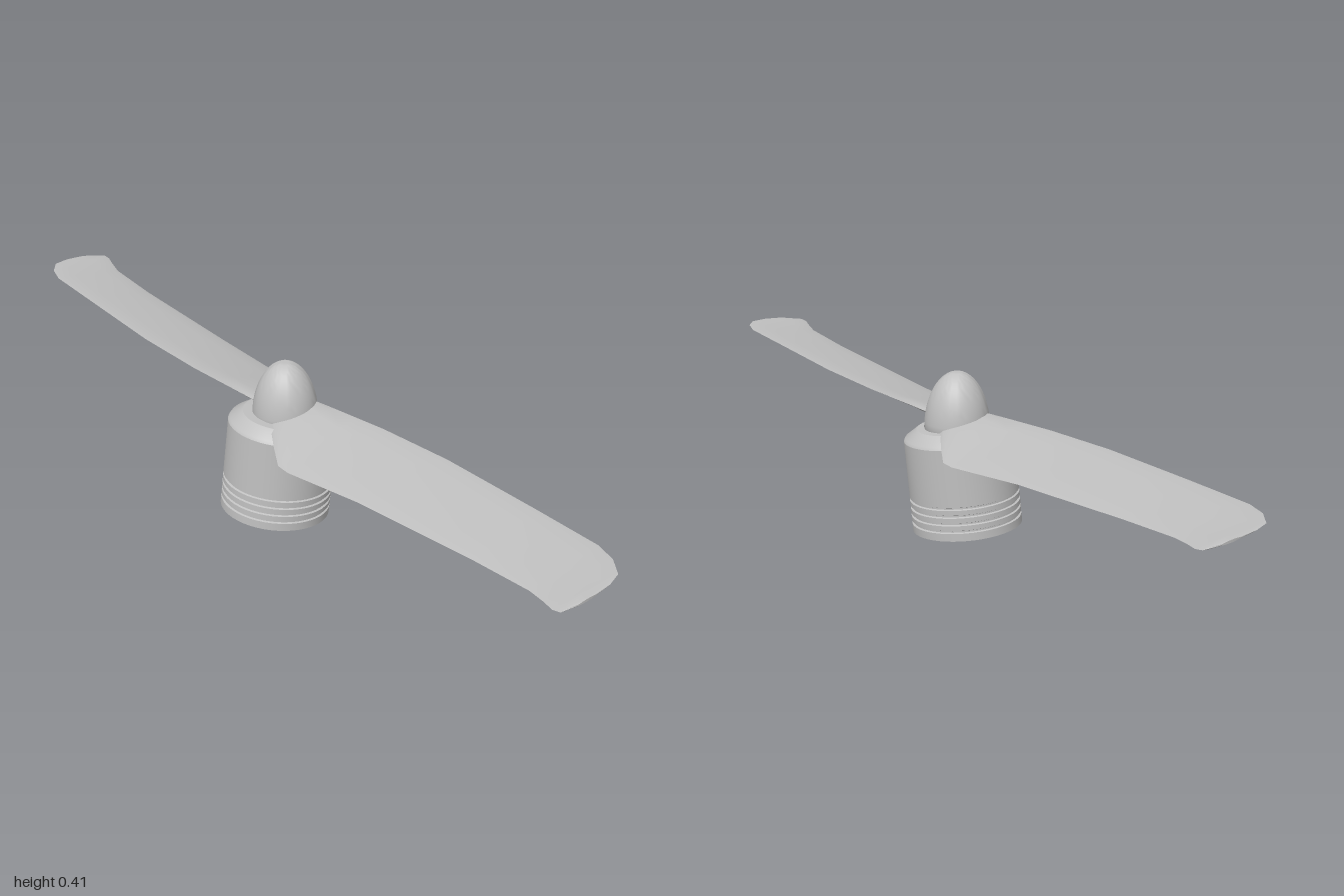
import * as THREE from 'three';
import { toCreasedNormals } from 'three/addons/utils/BufferGeometryUtils.js';

// Blade stations from hub to tip: low edge xyz, high edge xyz, thickness
const STATIONS = [
  [-0.05, 0.275, 0.0, 0.03, 0.305, -0.05, 0.03],
  [-0.03, 0.272, 0.09, 0.08, 0.308, 0.0, 0.024],
  [-0.015, 0.262, 0.18, 0.13, 0.311, 0.05, 0.018],
  [0.0, 0.249, 0.25, 0.19, 0.314, 0.11, 0.015],
  [0.025, 0.249, 0.285, 0.25, 0.317, 0.17, 0.014],
  [0.2, 0.271, 0.47, 0.4, 0.324, 0.34, 0.012],
  [0.45, 0.295, 0.76, 0.59, 0.332, 0.59, 0.01],
  [0.56, 0.307, 0.9, 0.71, 0.336, 0.75, 0.009],
  [0.585, 0.312, 0.95, 0.735, 0.337, 0.81, 0.008],
  [0.6, 0.315, 0.985, 0.74, 0.336, 0.87, 0.008],
  [0.615, 0.318, 1.0, 0.72, 0.334, 0.91, 0.007],
  [0.65, 0.323, 0.98, 0.69, 0.33, 0.945, 0.006],
];

// Thin lens-shaped cross-sections joined into a twisted blade
function bladeGeometry() {
  const half = 6, ring = half * 2;
  const pos = [], index = [];
  for (const [xl, yl, zl, xh, yh, zh, thick] of STATIONS) {
    const low = new THREE.Vector3(xl, yl, zl), high = new THREE.Vector3(xh, yh, zh);
    for (let j = 0; j < ring; j++) {
      const a = (j / ring) * Math.PI * 2;
      const p = low.clone().lerp(high, (1 - Math.cos(a)) / 2);
      pos.push(p.x, p.y + Math.sin(a) * thick / 2, p.z);
    }
  }
  for (let i = 0; i < STATIONS.length - 1; i++) {
    for (let j = 0; j < ring; j++) {
      const a = i * ring + j, b = i * ring + (j + 1) % ring;
      index.push(a, a + ring, b, b, a + ring, b + ring);
    }
  }
  // close the tip
  const last = (STATIONS.length - 1) * ring;
  for (let j = 1; j < ring - 1; j++) index.push(last, last + j + 1, last + j);
  const geo = new THREE.BufferGeometry();
  geo.setAttribute('position', new THREE.Float32BufferAttribute(pos, 3));
  geo.setIndex(index);
  return toCreasedNormals(geo, 0.7);
}

function lathe(points) {
  const profile = points.map(([r, y]) => new THREE.Vector2(r, y));
  return toCreasedNormals(new THREE.LatheGeometry(profile, 48), 0.5);
}

export function createModel() {
  const model = new THREE.Group();
  const grey = new THREE.MeshStandardMaterial({ color: 0xc0c0c0 });
  grey.name = 'light grey';

  const add = (name, geo) => {
    const mesh = new THREE.Mesh(geo, grey);
    mesh.name = name;
    model.add(mesh);
    return mesh;
  };

  // Tilted hollow hub with grooves round its lower rim
  const hub = [[0, 0.2], [0.131, 0.2], [0.131, 0], [0.14, 0]];
  for (let i = 0; i < 4; i++) {
    const y = 0.02 + i * 0.02;
    hub.push([0.14, y], [0.135, y + 0.002], [0.135, y + 0.006], [0.14, y + 0.008]);
  }
  hub.push([0.14, 0.235], [0.136, 0.242], [0.105, 0.263], [0, 0.266]);
  const hubMesh = add('hub', lathe(hub));
  hubMesh.position.set(-0.027, 0.0135, 0);
  hubMesh.rotation.z = -0.095;

  // Upright rounded nose
  const nose = [[0, 0.255], [0.076, 0.255]];
  for (let i = 0; i <= 14; i++) {
    const a = (i / 14) * Math.PI / 2;
    nose.push([0.083 * Math.cos(a), 0.27 + 0.145 * Math.sin(a)]);
  }
  add('spinner', lathe(nose));

  // Two opposite blades
  const blade = bladeGeometry();
  add('frontBlade', blade);
  add('backBlade', blade).rotation.y = Math.PI;

  return model;
}
